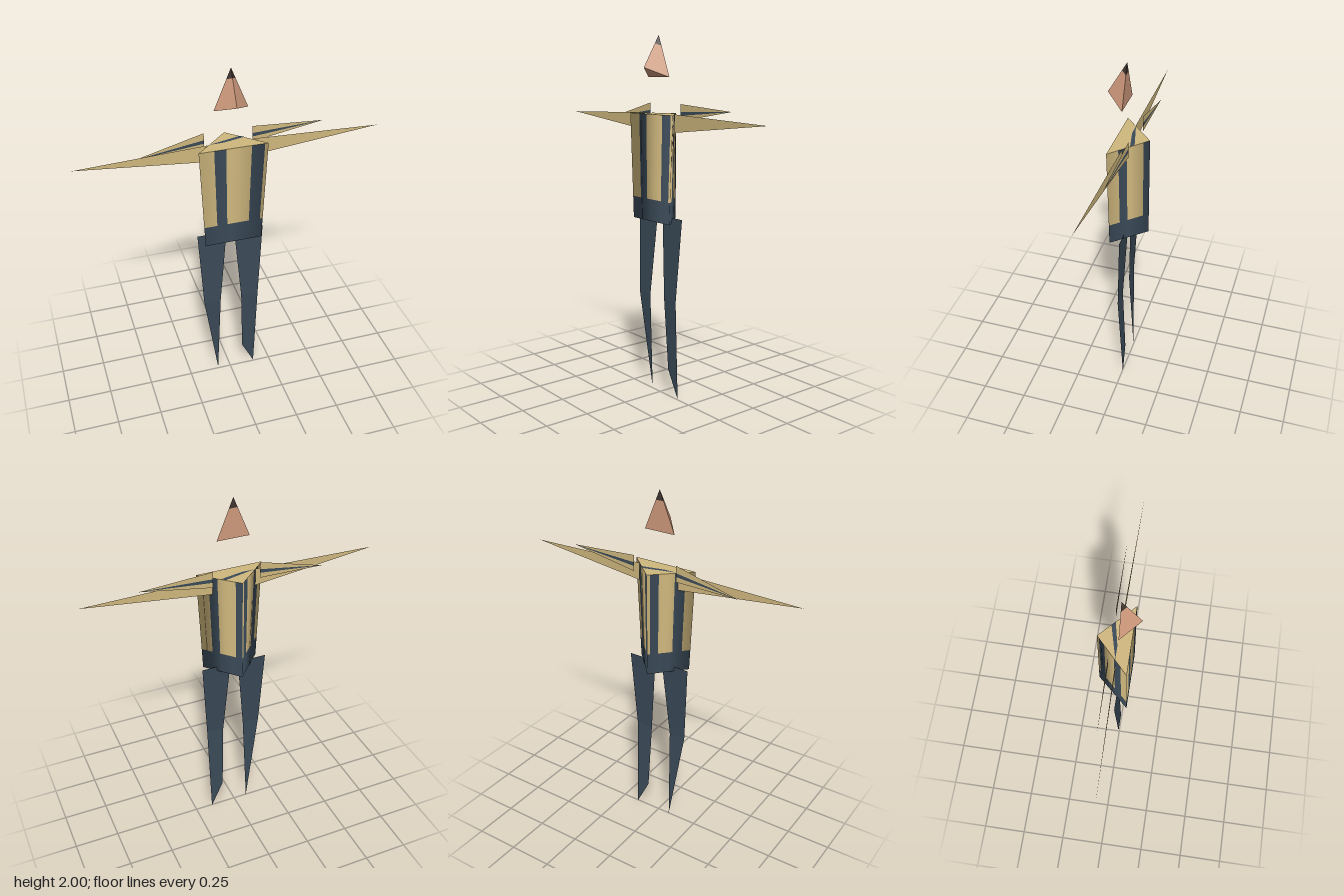
import * as THREE from 'three';

const mat = (name, color, side = THREE.DoubleSide) => {
  const m = new THREE.MeshStandardMaterial({ color, side });
  m.name = name;
  return m;
};

// Flat polygon from points in order, counterclockwise seen from its front
function polygon(name, points, material) {
  const pos = [];
  for (let i = 1; i < points.length - 1; i++) pos.push(...points[0], ...points[i], ...points[i + 1]);
  const g = new THREE.BufferGeometry();
  g.setAttribute('position', new THREE.Float32BufferAttribute(pos, 3));
  g.computeVertexNormals();
  const mesh = new THREE.Mesh(g, material);
  mesh.name = name;
  return mesh;
}

const mix = (a, b, t) => a.map((v, i) => v + (b[i] - v) * t);

export function createModel() {
  const model = new THREE.Group();
  const tan = mat('tan cloth', 0xd0b87e);
  const navy = mat('navy cloth', 0x3a4a58);
  const skin = mat('skin', 0xcf9a7c);
  const hair = mat('hair', 0x40352f);
  const group = (name) => {
    const g = new THREE.Group();
    g.name = name;
    model.add(g);
    return g;
  };

  // Head: a small tetrahedron with a dark tip
  const head = group('head');
  const apex = [0, 2, 0.01];
  const base = [[-0.09, 1.78, 0.01], [0, 1.83, 0.11], [0.09, 1.78, 0.01]];
  const hairline = base.map((p) => mix(apex, p, 0.26));
  for (let i = 0; i < 3; i++) {
    const j = (i + 1) % 3;
    head.add(polygon('hair', [apex, hairline[i], hairline[j]], hair));
    head.add(polygon('face', [hairline[i], base[i], base[j], hairline[j]], skin));
  }
  head.add(polygon('chin', [base[2], base[1], base[0]], skin));

  // Torso: tapered three-sided prism with soft normals
  const torso = group('torso');
  const corners = (y) => {
    const w = 0.158 + (0.027 * (y - 1.005)) / 0.58;
    return [[-w, y, 0.063], [w, y, 0.063], [0, y, -0.11]];
  };
  const cornerNormals = [[-0.85, 0, 0.53], [0.85, 0, 0.53], [0, 0, -1]];
  const low = corners(1.005), waist = corners(1.125), top = corners(1.585);

  function wall(name, side, u0, u1, lower, upper, material) {
    const next = (side + 1) % 3, steps = 4;
    const pos = [], nor = [], idx = [];
    for (let i = 0; i <= steps; i++) {
      const u = u0 + ((u1 - u0) * i) / steps;
      const n = new THREE.Vector3(...mix(cornerNormals[side], cornerNormals[next], u)).normalize();
      for (const ring of [lower, upper]) {
        pos.push(...mix(ring[side], ring[next], u));
        nor.push(n.x, n.y, n.z);
      }
      if (i < steps) {
        const a = i * 2;
        idx.push(a, a + 2, a + 3, a, a + 3, a + 1);
      }
    }
    const g = new THREE.BufferGeometry();
    g.setAttribute('position', new THREE.Float32BufferAttribute(pos, 3));
    g.setAttribute('normal', new THREE.Float32BufferAttribute(nor, 3));
    g.setIndex(idx);
    const mesh = new THREE.Mesh(g, material);
    mesh.name = name;
    torso.add(mesh);
  }

  // Vertical bands on each wall, alternating tan and navy
  const bands = [
    [0, 0.22, 0.39, 0.76, 0.95, 1],
    [0, 0.27, 0.46, 0.85, 1],
    [0, 0.07, 0.25, 0.58, 0.8, 1],
  ];
  bands.forEach((cuts, side) => {
    wall('waistband', side, 0, 1, low, waist, navy);
    for (let i = 0; i < cuts.length - 1; i++) {
      const stripe = i % 2 === 1;
      wall(stripe ? 'stripe' : 'shirtPanel', side, cuts[i], cuts[i + 1], waist, top, stripe ? navy : tan);
    }
  });
  torso.add(polygon('shirtTop', top, tan));
  torso.add(polygon('topStripe', [[-0.11, 1.587, -0.003], [-0.04, 1.587, -0.003], [0.085, 1.587, -0.03], [0.065, 1.587, -0.048]], navy));
  torso.add(polygon('torsoBottom', [...low].reverse(), navy));

  // Arms and shoulder flaps: thin triangles
  const flapTips = { left: [0.52, 1.615, -0.035], right: [-0.49, 1.545, -0.035] };
  for (const [name, s] of [['left', 1], ['right', -1]]) {
    const arm = [[s * 0.12, 1.49, 0], [s * 0.815, 1.565, 0.012], [s * 0.12, 1.587, 0]];
    model.add(polygon(name + 'Arm', s > 0 ? arm : arm.reverse(), tan));

    const flap = group(name + 'ShoulderFlap');
    const upper = [s * 0.13, 1.64, -0.035], lower = [s * 0.13, 1.55, -0.035];
    const cuts = [0, 0.45, 0.68, 1];
    for (let i = 0; i < 3; i++) {
      const tri = [mix(upper, lower, cuts[i + 1]), flapTips[name], mix(upper, lower, cuts[i])];
      flap.add(polygon(i === 1 ? 'flapStripe' : 'flapCloth', s > 0 ? tri : tri.reverse(), i === 1 ? navy : tan));
    }
  }

  // Legs: thin plates bent slightly forward at the knee
  const legs = {
    left: [
      [[0.022, 1.03, 0], [0.06, 0.57, 0.02], [0.16, 0.57, 0.02], [0.187, 1.03, 0]],
      [[0.06, 0.57, 0.02], [0.075, 0.16, 0.002], [0.15, 0.005, -0.005], [0.16, 0.57, 0.02]],
    ],
    right: [
      [[-0.187, 1.03, 0], [-0.162, 0.57, 0.02], [-0.064, 0.57, 0.02], [-0.022, 1.03, 0]],
      [[-0.162, 0.57, 0.02], [-0.077, 0.01, -0.005], [-0.064, 0.57, 0.02]],
    ],
  };
  for (const name in legs) {
    const leg = group(name + 'Leg');
    leg.add(polygon('thigh', legs[name][0], navy), polygon('shin', legs[name][1], navy));
  }

  return model;
}
